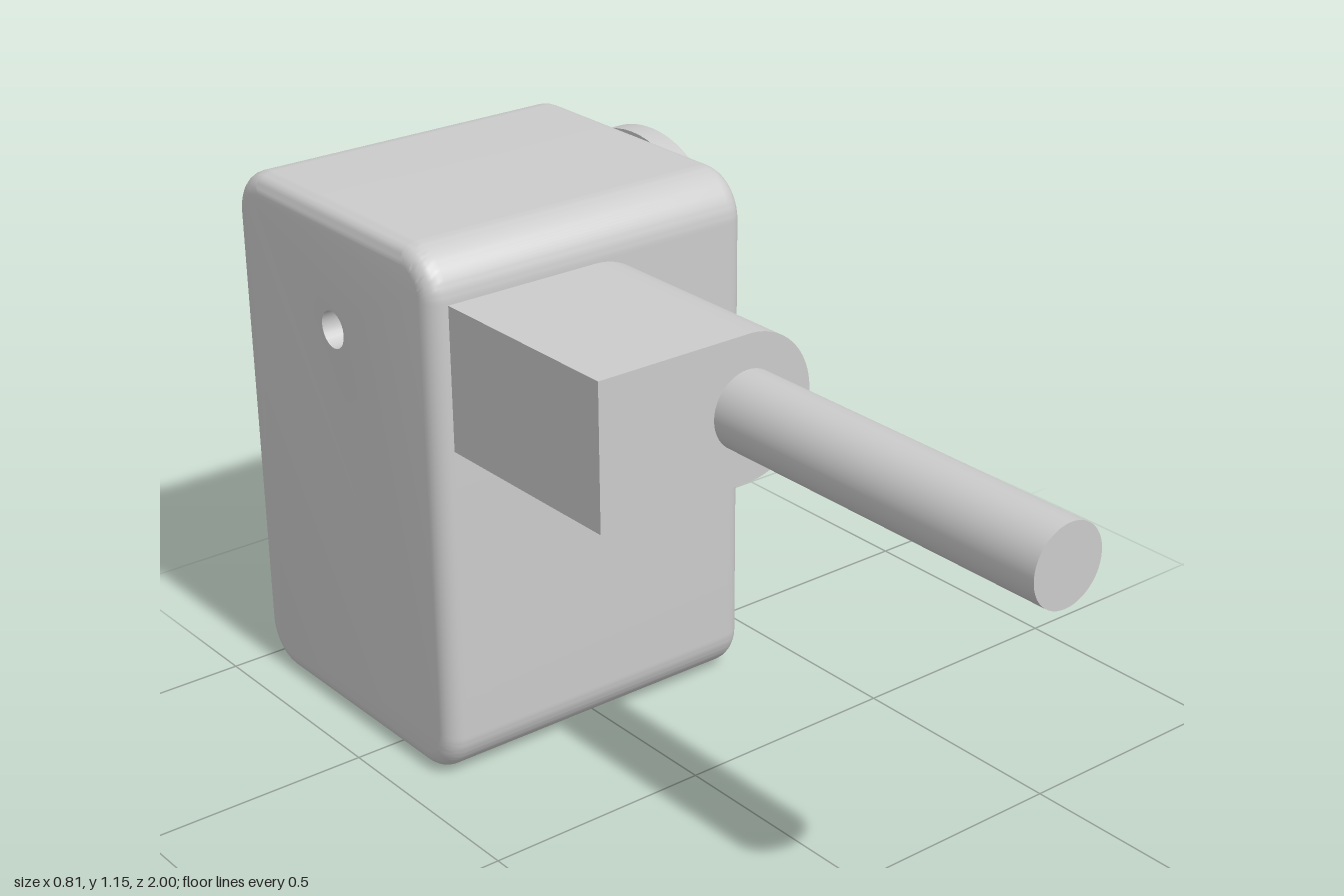
import * as THREE from 'three';
import { toCreasedNormals } from 'three/addons/utils/BufferGeometryUtils.js';

const AXIS_Y = 0.895; // shared height of rod, disc and side bore
const BODY_Z = -0.6425;
const BORE = 0.04;

function roundedRect(w, h, r) {
  const s = new THREE.Shape();
  const x = w / 2, y = h / 2;
  s.absarc(x - r, y - r, r, 0, Math.PI / 2);
  s.absarc(-x + r, y - r, r, Math.PI / 2, Math.PI);
  s.absarc(-x + r, -y + r, r, Math.PI, Math.PI * 1.5);
  s.absarc(x - r, -y + r, r, Math.PI * 1.5, Math.PI * 2);
  s.closePath();
  return s;
}

// Rounded housing, extruded sideways, with a small straight bore
function bodyGeometry() {
  const edge = 0.04, left = -0.41, right = 0.365, h = 1.15;
  const boreY = AXIS_Y - h / 2;
  const shape = roundedRect(0.715, h, 0.1);
  shape.holes.push(new THREE.Path().absarc(0, boreY, BORE, 0, Math.PI * 2, true));
  const geo = new THREE.ExtrudeGeometry(shape, {
    depth: right - left - 2 * edge, curveSegments: 12,
    bevelThickness: edge, bevelSize: edge, bevelOffset: -edge, bevelSegments: 6,
  });
  // Pull the flared rim of the bore back to a constant radius
  const p = geo.attributes.position;
  for (let i = 0; i < p.count; i++) {
    const dx = p.getX(i), dy = p.getY(i) - boreY, d = Math.hypot(dx, dy);
    if (d < 0.12) p.setXY(i, dx / d * BORE, boreY + dy / d * BORE);
  }
  geo.rotateY(Math.PI / 2).translate(left + edge, h / 2, BODY_Z);
  return toCreasedNormals(geo, 0.6);
}

// Block with one half-round side
function blockGeometry() {
  const r = 0.152, cx = -0.02, back = -0.32, front = 0.18;
  const s = new THREE.Shape();
  s.moveTo(-0.37, AXIS_Y - r);
  s.lineTo(cx, AXIS_Y - r);
  s.absarc(cx, AXIS_Y, r, -Math.PI / 2, Math.PI / 2);
  s.lineTo(-0.37, AXIS_Y + r);
  s.closePath();
  const geo = new THREE.ExtrudeGeometry(s, { depth: front - back, bevelEnabled: false, curveSegments: 32 });
  geo.translate(0, 0, back);
  return toCreasedNormals(geo, 0.6);
}

// Side disc with a softened outer edge
function discGeometry() {
  const r = 0.255, t = 0.055, b = 0.008;
  const profile = [[0, 0], [r, 0], [r, t - b], [r - b * 0.3, t - b * 0.3], [r - b, t], [0, t]]
    .map(([x, y]) => new THREE.Vector2(x, y));
  const geo = new THREE.LatheGeometry(profile, 64);
  geo.rotateZ(-Math.PI / 2).translate(0.35, AXIS_Y, -0.64);
  return toCreasedNormals(geo, 0.5);
}

export function createModel() {
  const group = new THREE.Group();
  const material = new THREE.MeshStandardMaterial({ color: 0xcccccc });
  const add = (name, geometry) => {
    const mesh = new THREE.Mesh(geometry, material);
    mesh.name = name;
    group.add(mesh);
  };

  add('body', bodyGeometry());
  add('frontBlock', blockGeometry());
  add('sideDisc', discGeometry());

  // Straight rod pointing forward
  const rod = new THREE.CylinderGeometry(0.081, 0.081, 0.84, 48);
  rod.rotateX(Math.PI / 2).translate(-0.022, AXIS_Y, 0.58);
  add('rod', rod);

  return group;
}
